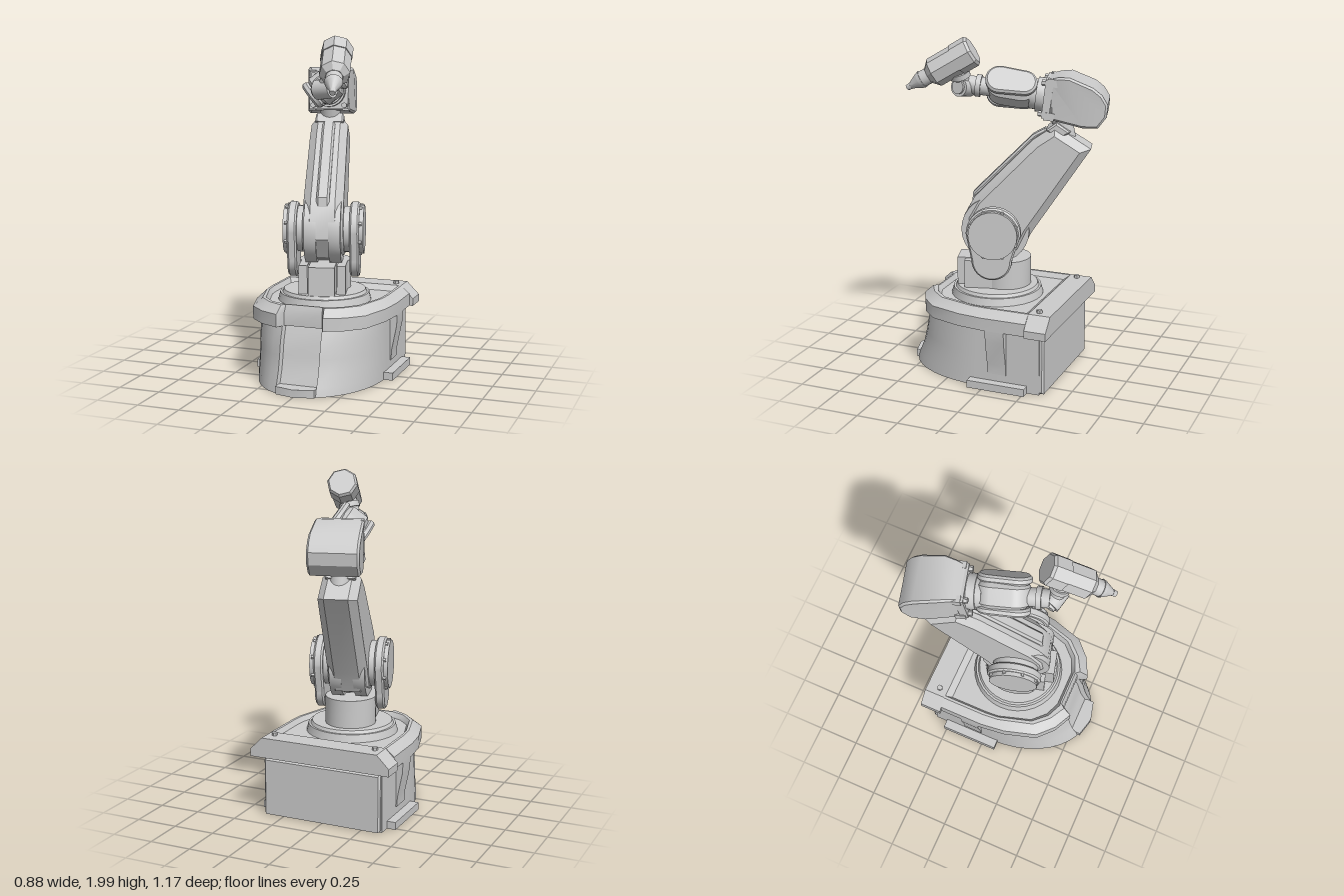
import * as THREE from 'three';
import { toCreasedNormals } from 'three/addons/utils/BufferGeometryUtils.js';

const grey = new THREE.MeshStandardMaterial({ color: 0xcccccc });
const V = (x, y, z) => new THREE.Vector3(x, y, z);

function add(parent, name, geo, x = 0, y = 0, z = 0) {
  const mesh = new THREE.Mesh(toCreasedNormals(geo, 0.55), grey);
  mesh.name = name;
  mesh.position.set(x, y, z);
  parent.add(mesh);
  return mesh;
}

const box = (w, h, d) => new THREE.BoxGeometry(w, h, d);
const cyl = (rTop, rBottom, h, n = 28) => new THREE.CylinderGeometry(rTop, rBottom, h, n);
const alongX = (r, w, n = 28) => cyl(r, r, w, n).rotateZ(Math.PI / 2);
const alongZ = (r, w, n = 28) => cyl(r, r, w, n).rotateX(Math.PI / 2);
const polygon = pts => new THREE.Shape(pts.map(([a, b]) => new THREE.Vector2(a, b)));

// Side profile (z, y) given thickness along x, with chamfered edges
function slab(shape, width, bevel) {
  const depth = width - 2 * bevel;
  return new THREE.ExtrudeGeometry(shape, {
    depth, bevelEnabled: bevel > 0, bevelSize: bevel, bevelThickness: bevel,
    bevelOffset: -bevel, bevelSegments: 1, curveSegments: 16,
  }).translate(0, 0, -depth / 2).rotateY(-Math.PI / 2);
}

// Cylinder running from point a to point b
function rod(parent, name, a, b, ra, rb = ra, n = 20) {
  const d = b.clone().sub(a);
  const mesh = add(parent, name, cyl(rb, ra, d.length(), n));
  mesh.position.copy(a).addScaledVector(d, 0.5);
  mesh.quaternion.setFromUnitVectors(V(0, 1, 0), d.normalize());
  return mesh;
}

// Skin over stacked horizontal outlines; each is [y, [[x, z], ...]] for the +x half
function loft(levels) {
  const pos = [], idx = [];
  const rings = levels.map(([y, half]) =>
    [...half, ...half.slice().reverse().map(([x, z]) => [-x, z])].map(([x, z]) => [x, y, z]));
  const n = rings[0].length, last = rings.length - 1;
  rings.forEach(r => r.forEach(p => pos.push(...p)));
  pos.push(0, levels[0][0], 0, 0, levels[last][0], 0);
  const bottom = n * rings.length;
  for (let j = 0; j < n; j++) {
    const k = (j + 1) % n;
    for (let i = 0; i < last; i++) {
      const a = i * n + j, b = i * n + k;
      idx.push(a, a + n, b, b, a + n, b + n);
    }
    idx.push(bottom, j, k, bottom + 1, last * n + k, last * n + j);
  }
  const geo = new THREE.BufferGeometry();
  geo.setAttribute('position', new THREE.Float32BufferAttribute(pos, 3));
  geo.setIndex(idx);
  return geo.toNonIndexed();
}

function buildBase(root) {
  const base = new THREE.Group();
  base.name = 'base';
  root.add(base);

  // Pedestal: square back, elliptical front with a recessed channel
  const outline = front => {
    const half = [[0.375, -0.34]];
    for (let k = 0; k <= 8; k++) {
      const t = (k / 8) * 1.245;
      half.push([0.375 * Math.cos(t), 0.05 + (front - 0.05) * Math.sin(t)]);
    }
    half.push([0.112, 0.05 + (front - 0.05) * 0.95 - 0.035]);
    return half;
  };
  add(base, 'pedestal', loft([[0, 0.575], [0.05, 0.56], [0.12, 0.53], [0.2, 0.51], [0.28, 0.495], [0.37, 0.46]]
    .map(([y, f]) => [y, outline(f)])));
  add(base, 'frontLip', loft([0, 0.045].map(y => [y, [[0.117, 0.4], [0.117, 0.56], [0.01, 0.588]]])));
  add(base, 'backPanel', slab(polygon([[-0.3, 0.005], [-0.3, 0.365], [-0.345, 0.365], [-0.365, 0.34], [-0.365, 0.005]]), 0.74, 0.01));

  // Cover with chamfered rim and sunken deck
  const outer = [[0.418, -0.27], [0.418, 0], [0.4, 0.15], [0.343, 0.34], [0.25, 0.43], [0.14, 0.484], [0.115, 0.425]];
  const rim = [[0.368, -0.27], [0.368, 0], [0.36, 0.09], [0.3, 0.3], [0.22, 0.385], [0.13, 0.435], [0.11, 0.41]];
  const inner = [[0.352, -0.268], [0.352, 0], [0.345, 0.085], [0.285, 0.285], [0.21, 0.365], [0.12, 0.405], [0.1, 0.4]];
  const deck = [[0.335, -0.23], [0.335, 0], [0.33, 0.08], [0.27, 0.275], [0.195, 0.35], [0.11, 0.385], [0.09, 0.385]];
  add(base, 'cover', loft([[0.365, outer], [0.44, outer], [0.485, rim], [0.485, inner], [0.455, deck]]));
  const ledge = polygon([[-0.44, 0.365], [0.44, 0.365], [0.44, 0.41], [0.365, 0.485], [-0.365, 0.485], [-0.44, 0.41]]);
  add(base, 'backLedge', new THREE.ExtrudeGeometry(ledge, { depth: 0.13, bevelEnabled: false }), 0, 0, -0.4);

  for (const s of [-1, 1]) {
    add(base, 'ledgeBolt', cyl(0.017, 0.017, 0.025, 6), s * 0.32, 0.49, -0.32);
    add(base, 'sideFoot', box(0.08, 0.045, 0.355), s * 0.388, 0.0225, -0.088);
    // Tapered side rib, widest under the cover
    const rib = polygon([[0.35, 0.09], [0.382, 0.09], [0.385, 0.15], [0.415, 0.3], [0.418, 0.37], [0.35, 0.37]]);
    const geo = new THREE.ExtrudeGeometry(rib, { depth: 0.115, bevelEnabled: false });
    add(base, 'sideRib', s > 0 ? geo : geo.rotateY(Math.PI).translate(0, 0, 0.115), 0, 0, -0.137);
  }

  // Turntable rings
  add(base, 'turntableRing', cyl(0.262, 0.275, 0.05, 32), 0, 0.475, 0.07);
  add(base, 'turntable', cyl(0.24, 0.25, 0.02, 32), 0, 0.508, 0.07);
}

function buildShoulder(body) {
  add(body, 'column', cyl(0.15, 0.15, 0.175), 0, 0.597, -0.05);
  add(body, 'columnFront', box(0.15, 0.175, 0.28), 0, 0.597, 0.09);
  for (const s of [-1, 1]) {
    add(body, 'columnRib', box(0.05, 0.175, 0.24), s * 0.11, 0.597, 0.06);
    // Drive housing: round top with a lobe reaching down
    const shape = new THREE.Shape();
    shape.absarc(0, 0.87, 0.16, 0, Math.PI);
    shape.absarc(0.01, 0.71, 0.118, Math.PI, 2 * Math.PI);
    add(body, 'driveHousing', slab(shape, 0.055, 0.01), s * 0.18);
    add(body, 'driveCover', alongX(0.143, 0.05), s * 0.207, 0.87);
    add(body, 'driveFlange', alongX(0.135, 0.09), s * 0.12, 0.87);
    for (let k = 0; k < 8; k++) {
      const a = ((k + 0.5) / 8) * 2 * Math.PI;
      add(body, 'driveBolt', alongX(0.012, 0.02, 6), s * 0.212, 0.87 + 0.142 * Math.sin(a), 0.142 * Math.cos(a));
    }
  }
}

function buildLowerArm(body) {
  // Broad tapered beam leaning back, narrower towards the elbow
  const beam = slab(polygon([[-0.15, 0.73], [-0.21, 0.854], [-0.549, 1.363], [-0.34, 1.496], [-0.215, 1.41],
    [0.125, 1.06], [0.185, 0.95], [0.195, 0.84], [0.125, 0.72], [0, 0.68]].reverse()), 0.23, 0.045);
  const p = beam.attributes.position;
  for (let i = 0; i < p.count; i++) p.setX(i, p.getX(i) * (1.05 - 0.12 * (p.getY(i) - 0.7)));
  add(body, 'lowerArm', beam);
  const cover = polygon([[0.15, 0.98], [0.14, 1.075], [-0.21, 1.43], [-0.28, 1.47], [-0.32, 1.44], [0, 0.98]]);
  add(body, 'armFrontRib', slab(cover, 0.075, 0.012));
  for (const s of [-1, 1]) add(body, 'armLobe', alongX(0.2, 0.07), s * 0.07, 0.87);
  add(body, 'armEndCollar', slab(polygon([[-0.36, 1.41], [-0.29, 1.47], [-0.35, 1.515], [-0.43, 1.46]].reverse()), 0.17, 0.01));
  rod(body, 'elbowNeck', V(0, 1.4, -0.4), V(0, 1.58, -0.36), 0.06);
}

function buildElbow(body) {
  // Motor housing, narrowing towards the forearm flange
  const housing = slab(polygon([[-0.32, 1.535], [-0.5, 1.5], [-0.588, 1.5], [-0.637, 1.565], [-0.643, 1.635],
    [-0.61, 1.69], [-0.56, 1.73], [-0.424, 1.785], [-0.36, 1.782], [-0.3, 1.765]].reverse()), 0.29, 0.012);
  const p = housing.attributes.position;
  for (let i = 0; i < p.count; i++) if (p.getZ(i) > -0.45) p.setX(i, p.getX(i) * (1 - 1.7 * (p.getZ(i) + 0.45)));
  add(body, 'elbowHousing', housing);
}

function buildForearm(body) {
  const arm = new THREE.Group();
  arm.name = 'forearm';
  arm.position.set(0, 1.655, -0.3);
  arm.rotation.x = -0.12;
  body.add(arm);
  add(arm, 'flange', box(0.23, 0.225, 0.045));
  for (const x of [-0.093, 0.093]) for (const y of [-0.09, 0.09]) {
    add(arm, 'flangeBolt', alongZ(0.017, 0.05, 6), x, y, 0.02);
    add(arm, 'flangeLug', box(0.04, 0.045, 0.06), x * 1.08, y * 1.08, -0.02);
  }
  add(arm, 'rollRing', alongZ(0.1, 0.06), 0, 0, 0.04);
  add(arm, 'rollCollar', alongZ(0.088, 0.05), 0, 0, 0.08);

  // Rolled shell with raised oval side covers
  const shell = new THREE.Group();
  shell.name = 'forearmShell';
  shell.position.y = 0.012;
  shell.rotation.z = 0.65;
  arm.add(shell);
  const oval = (z0, z1, r0, r1) => {
    const s = new THREE.Shape();
    s.absarc(z1, 0, r1, -Math.PI / 2, Math.PI / 2);
    s.absarc(z0, 0, r0, Math.PI / 2, 1.5 * Math.PI);
    return s;
  };
  add(shell, 'forearmBody', slab(oval(0.16, 0.27, 0.093, 0.09), 0.17, 0.035));
  for (const s of [-1, 1]) add(shell, 'sideCover', slab(oval(0.145, 0.285, 0.075, 0.083), 0.045, 0.012), s * 0.088);
  add(arm, 'wristTube', alongZ(0.052, 0.14), 0, 0, 0.4);
  add(arm, 'wristRing', alongZ(0.064, 0.03), 0, 0, 0.41);
}

function buildTool(root) {
  // Bent wrist joint
  const joint = V(0.065, 1.7, 0.25);
  rod(root, 'wristKnuckle', V(0.015, 1.69, 0.235), V(0.115, 1.705, 0.26), 0.056);
  rod(root, 'wristCap', V(0.0, 1.688, 0.232), V(0.128, 1.707, 0.263), 0.04);
  rod(root, 'wristLink', joint, V(0.135, 1.86, 0.27), 0.04, 0.05);
  rod(root, 'wristFlange', V(0.1, 1.76, 0.255), V(0.11, 1.79, 0.26), 0.06);

  // Octagonal head with stepped nozzle
  const rear = V(0.113, 1.923, 0.17), tip = V(0.215, 1.7, 0.535);
  const tool = new THREE.Group();
  tool.name = 'toolHead';
  tool.position.copy(rear);
  tool.quaternion.setFromUnitVectors(V(0, 1, 0), tip.clone().sub(rear).normalize());
  root.add(tool);
  [['toolRear', 0, 0.015, 0.08, 0.092, 8], ['toolBlock', 0.015, 0.11, 0.092, 0.092, 8], ['toolBody', 0.11, 0.26, 0.087, 0.087, 8],
    ['toolTaper', 0.26, 0.295, 0.087, 0.052, 8], ['nozzleCollar', 0.295, 0.34, 0.047, 0.047, 20],
    ['nozzleRing', 0.34, 0.36, 0.052, 0.046, 20], ['nozzleCone', 0.36, 0.418, 0.046, 0.018, 20],
    ['nozzleTip', 0.418, 0.443, 0.02, 0.016, 12],
  ].forEach(([name, y0, y1, r0, r1, n]) =>
    add(tool, name, cyl(r1, r0, y1 - y0, n).rotateY(n === 8 ? Math.PI / 8 : 0), 0, (y0 + y1) / 2, 0));
}

export function createModel() {
  const root = new THREE.Group();
  root.name = 'robotArm';
  buildBase(root);

  // Everything above the turntable is swivelled
  const body = new THREE.Group();
  body.name = 'swivelBody';
  body.position.z = 0.07;
  body.rotation.y = 0.262;
  root.add(body);
  buildShoulder(body);
  buildLowerArm(body);
  buildElbow(body);
  buildForearm(body);
  buildTool(root);
  return root;
}
